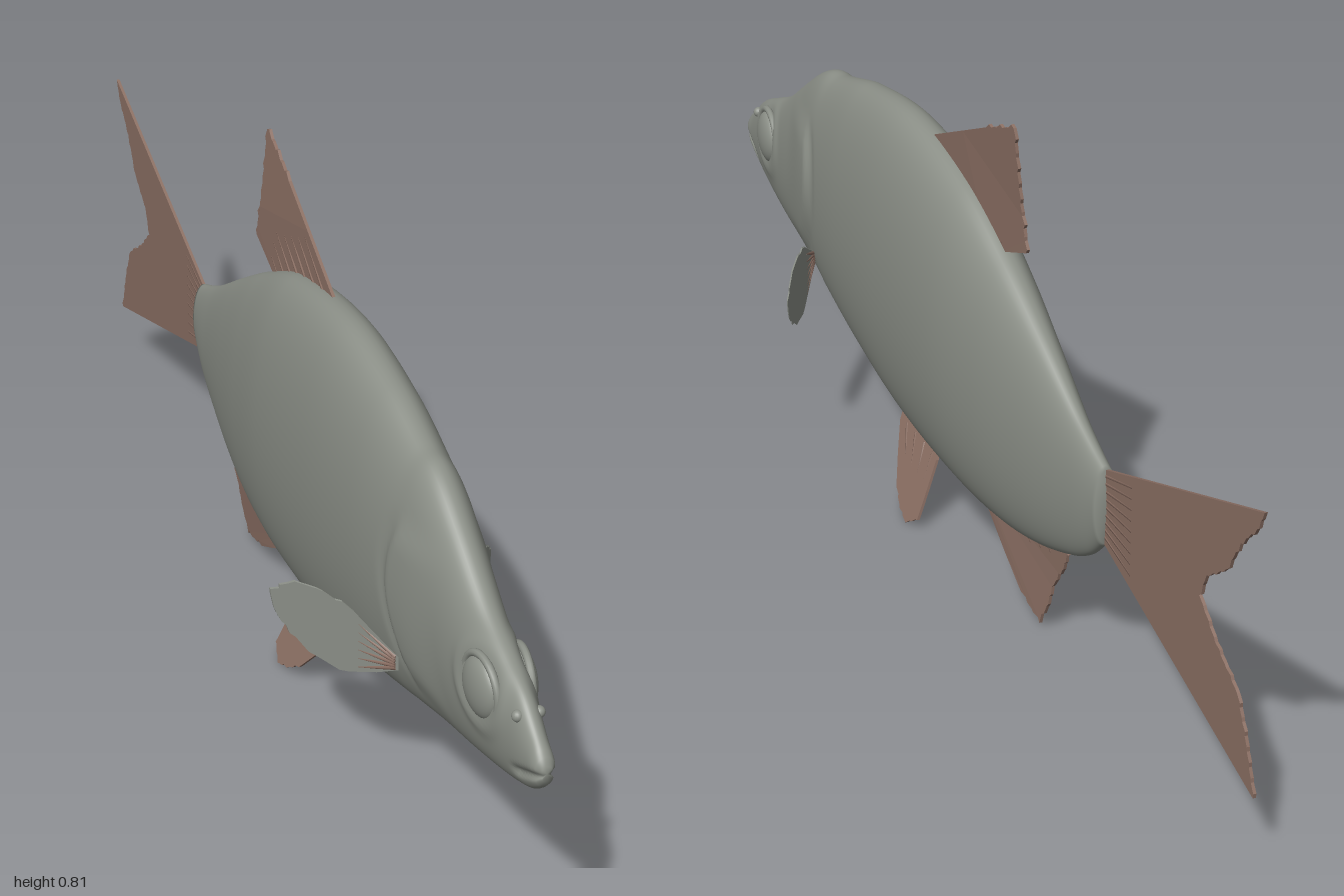
import * as THREE from 'three';

const bodyMat = new THREE.MeshStandardMaterial({ name: 'grey green scales', color: 0x8b8f87 });
const finMat = new THREE.MeshStandardMaterial({ name: 'dusty red fin', color: 0x8c7064 });

// Body stations from snout to tail: z, top, bottom, half width
const stations = [
  [1.0, 0.362, 0.338, 0.01], [0.99, 0.376, 0.323, 0.017], [0.965, 0.396, 0.305, 0.02],
  [0.92, 0.43, 0.288, 0.026], [0.86, 0.457, 0.272, 0.034], [0.78, 0.493, 0.254, 0.043],
  [0.68, 0.56, 0.233, 0.052], [0.62, 0.598, 0.218, 0.058], [0.58, 0.615, 0.208, 0.062],
  [0.54, 0.62, 0.198, 0.067], [0.41, 0.655, 0.166, 0.076], [0.22, 0.676, 0.13, 0.082],
  [0.0, 0.642, 0.118, 0.08], [-0.15, 0.578, 0.124, 0.067], [-0.28, 0.507, 0.148, 0.05],
  [-0.4, 0.437, 0.19, 0.033], [-0.46, 0.408, 0.223, 0.026], [-0.505, 0.39, 0.265, 0.02],
];

// Smooth interpolation of the stations at a given z
function sectionAt(z) {
  const n = stations.length;
  let i = 0;
  while (i < n - 2 && z < stations[i + 1][0]) i++;
  const a = stations[i], b = stations[i + 1], dz = b[0] - a[0], t = (z - a[0]) / dz;
  const slope = (k, c) => {
    const p = stations[Math.max(k - 1, 0)], q = stations[Math.min(k + 1, n - 1)];
    return (q[c] - p[c]) / (q[0] - p[0]);
  };
  return [1, 2, 3].map((c) =>
    (2 * t ** 3 - 3 * t ** 2 + 1) * a[c] + (t ** 3 - 2 * t ** 2 + t) * dz * slope(i, c) +
    (3 * t ** 2 - 2 * t ** 3) * b[c] + (t ** 3 - t ** 2) * dz * slope(i + 1, c));
}

// Surface half width with gill cover, eye socket and mouth slit
function relief(w, y, z) {
  const edge = 0.55 + 3 * (y - 0.43) ** 2;
  const d = z - edge;
  const span = THREE.MathUtils.smoothstep(y, 0.26, 0.31) * (1 - THREE.MathUtils.smoothstep(y, 0.49, 0.54));
  let out = span * 0.007 * THREE.MathUtils.smoothstep(d, -0.006, 0.012) * (1 - THREE.MathUtils.smoothstep(d, 0.02, 0.15));
  out -= span * 0.003 * Math.exp(-(((d + 0.015) / 0.012) ** 2));
  const r = Math.hypot(z - 0.835, y - 0.4);
  out += 0.004 * Math.exp(-(((r - 0.06) / 0.012) ** 2));
  if (z > 0.92) {
    const slit = 0.349 - (1 - z) * 0.45;
    out -= w * 0.45 * Math.exp(-(((y - slit) / 0.006) ** 2)) * THREE.MathUtils.smoothstep(z, 0.92, 0.945);
  }
  return w + out;
}

// Body skin: rings of cross-sections closed at both ends
function bodyGeometry() {
  const rings = 200, sides = 72, pos = [], index = [];
  for (let i = 0; i <= rings; i++) {
    const z = 1 - 1.505 * (i / rings);
    const [top, bottom, w] = sectionAt(z);
    for (let j = 0; j < sides; j++) {
      const t = (j / sides) * Math.PI * 2, c = Math.cos(t);
      const y = (top + bottom) / 2 + ((top - bottom) / 2) * Math.sin(t);
      const x = Math.sign(c) * Math.abs(c) ** 0.92;
      pos.push(x * relief(w, y, z), y, z);
      if (i < rings) {
        const k = (j + 1) % sides, a = i * sides + j, b = i * sides + k;
        index.push(a, a + sides, b, b, a + sides, b + sides);
      }
    }
  }
  const front = pos.length / 3, last = rings * sides;
  pos.push(0, 0.35, 1, 0, 0.3275, -0.51);
  for (let j = 0; j < sides; j++) {
    const k = (j + 1) % sides;
    index.push(front, j, k, front + 1, last + k, last + j);
  }
  const g = new THREE.BufferGeometry();
  g.setAttribute('position', new THREE.Float32BufferAttribute(pos, 3));
  g.setIndex(index);
  g.computeVertexNormals();
  return g;
}

// Ragged version of an outline between two point numbers
function ragged(points, from, to, size) {
  const out = [];
  points.forEach((p, i) => {
    out.push(p);
    if (i < from || i >= to) return;
    const q = points[i + 1], dx = q[0] - p[0], dy = q[1] - p[1], len = Math.hypot(dx, dy);
    const teeth = Math.max(1, Math.round(len / 0.022));
    for (let k = 0; k < teeth; k++) {
      const t = (k + 0.7) / teeth, s = size * (0.6 + 0.4 * Math.sin(i * 5 + k * 3));
      out.push([p[0] + dx * t + (dy / len) * s, p[1] + dy * t - (dx / len) * s]);
      if (k < teeth - 1) out.push([p[0] + (dx * (k + 1)) / teeth, p[1] + (dy * (k + 1)) / teeth]);
    }
  });
  return out;
}

// Thin fin plate; place(a, b, t) maps outline and thickness to model space
function fin(name, outline, mat, place, rays = [], rayMat = finMat) {
  const group = new THREE.Group();
  group.name = name;
  const shape = new THREE.Shape(outline.map(([a, b]) => new THREE.Vector2(a, b)));
  const g = new THREE.ExtrudeGeometry(shape, { depth: 0.005, bevelEnabled: false });
  const p = g.attributes.position;
  for (let i = 0; i < p.count; i++) p.setXYZ(i, ...place(p.getX(i), p.getY(i), p.getZ(i) - 0.0025));
  g.computeVertexNormals();
  const web = new THREE.Mesh(g, mat);
  web.name = name + 'Web';
  group.add(web);
  for (const [a0, b0, a1, b1] of rays) {
    const s = new THREE.Vector3(...place(a0, b0, 0)), e = new THREE.Vector3(...place(a1, b1, 0));
    const ray = new THREE.Mesh(new THREE.CylinderGeometry(0.0015, 0.004, s.distanceTo(e), 6), rayMat);
    ray.position.copy(s).add(e).multiplyScalar(0.5);
    ray.quaternion.setFromUnitVectors(new THREE.Vector3(0, 1, 0), e.sub(s).normalize());
    ray.name = name + 'Ray';
    group.add(ray);
  }
  return group;
}

// Evenly spread rays between a root segment and a tip segment
const fan = (n, r0, r1, t0, t1) => Array.from({ length: n }, (_, i) => {
  const f = i / (n - 1), mix = (p, q, c) => p[c] + (q[c] - p[c]) * f;
  return [mix(r0, r1, 0), mix(r0, r1, 1), mix(t0, t1, 0), mix(t0, t1, 1)];
});

export function createModel() {
  const fish = new THREE.Group();
  fish.name = 'fish';

  const body = new THREE.Mesh(bodyGeometry(), bodyMat);
  body.name = 'body';
  fish.add(body);

  // Upright fins, outlined in (-z, y)
  const dorsal = ragged([[-0.1, 0.62], [-0.155, 0.664], [-0.02, 0.725], [0.075, 0.768], [0.185, 0.81],
    [0.19, 0.74], [0.195, 0.69], [0.213, 0.615], [0.12, 0.578], [0.08, 0.55]], 3, 7, -0.006);
  fish.add(fin('dorsalFin', dorsal, finMat,
    (a, b, t) => [t + Math.max(0, b - 0.66) * 0.06, b, -a],
    fan(7, [-0.1, 0.66], [0.1, 0.58], [0.03, 0.73], [0.17, 0.63])));

  const tail = ragged([[0.47, 0.37], [0.5, 0.388], [0.994, 0.57], [0.975, 0.535], [0.93, 0.49], [0.893, 0.43],
    [0.834, 0.388], [0.813, 0.345], [0.866, 0.297], [0.936, 0.254], [0.963, 0.2], [0.994, 0.116],
    [0.5, 0.265], [0.47, 0.28]], 2, 11, -0.004);
  fish.add(fin('tailFin', tail, finMat, (a, b, t) => [t, b, -a],
    fan(9, [0.49, 0.375], [0.49, 0.28], [0.72, 0.44], [0.72, 0.23])));

  const anal = ragged([[0.04, 0.15], [0.05, 0.12], [0.15, 0.065], [0.22, 0.03], [0.294, 0.014],
    [0.318, 0.06], [0.33, 0.1], [0.362, 0.145], [0.378, 0.178], [0.34, 0.2]], 3, 8, -0.005);
  fish.add(fin('analFin', anal, finMat,
    (a, b, t) => [t + Math.max(0, 0.12 - b) * 0.08, b, -a],
    fan(6, [0.08, 0.125], [0.3, 0.165], [0.18, 0.07], [0.33, 0.13])));

  for (const side of [1, -1]) {
    const label = side > 0 ? 'left' : 'right';

    // Pelvic fins splay outward below the belly
    const pelvic = ragged([[-0.24, 0.14], [-0.235, 0.12], [-0.2, 0.075], [-0.166, 0.035], [-0.13, 0.014],
      [-0.098, 0.005], [-0.066, 0.024], [-0.072, 0.07], [-0.08, 0.12], [-0.09, 0.145]], 3, 6, -0.003);
    fish.add(fin(label + 'PelvicFin', pelvic, finMat,
      (a, b, t) => [side * (0.024 + (0.125 - b) * 0.42) + t, b, -a],
      fan(4, [-0.21, 0.125], [-0.1, 0.125], [-0.15, 0.05], [-0.09, 0.05])));

    // Pectoral fins fan out and back from behind the gills
    const pectoral = ragged([[0.052, 0.27], [0.052, 0.292], [0.075, 0.316], [0.095, 0.338], [0.132, 0.35],
      [0.16, 0.338], [0.178, 0.308], [0.172, 0.277], [0.153, 0.25], [0.13, 0.232], [0.1, 0.23],
      [0.073, 0.25]], 3, 10, -0.005).map(([x, y]) => [side * x, y]);
    fish.add(fin(label + 'PectoralFin', pectoral, bodyMat,
      (a, b, t) => [a, b, 0.56 - (side * a - 0.057) * 1.66 + t],
      fan(6, [side * 0.054, 0.29], [side * 0.054, 0.272], [side * 0.09, 0.32], [side * 0.09, 0.245])));

    // Bulging eye with a raised rim
    const eye = new THREE.Group();
    eye.name = label + 'Eye';
    const ball = new THREE.Mesh(new THREE.SphereGeometry(0.046, 32, 20), bodyMat);
    ball.name = 'eyeball';
    ball.scale.x = 0.4;
    const rim = new THREE.Mesh(new THREE.TorusGeometry(0.05, 0.006, 10, 40), bodyMat);
    rim.name = 'eyeRim';
    rim.rotation.y = Math.PI / 2;
    eye.add(ball, rim);
    eye.position.set(side * 0.031, 0.397, 0.835);
    eye.rotation.y = -side * 0.1;
    fish.add(eye);

    // Small nostril bump
    const nostril = new THREE.Mesh(new THREE.SphereGeometry(0.009, 16, 12), bodyMat);
    nostril.name = label + 'Nostril';
    nostril.position.set(side * 0.016, 0.405, 0.93);
    fish.add(nostril);
  }
  return fish;
}
